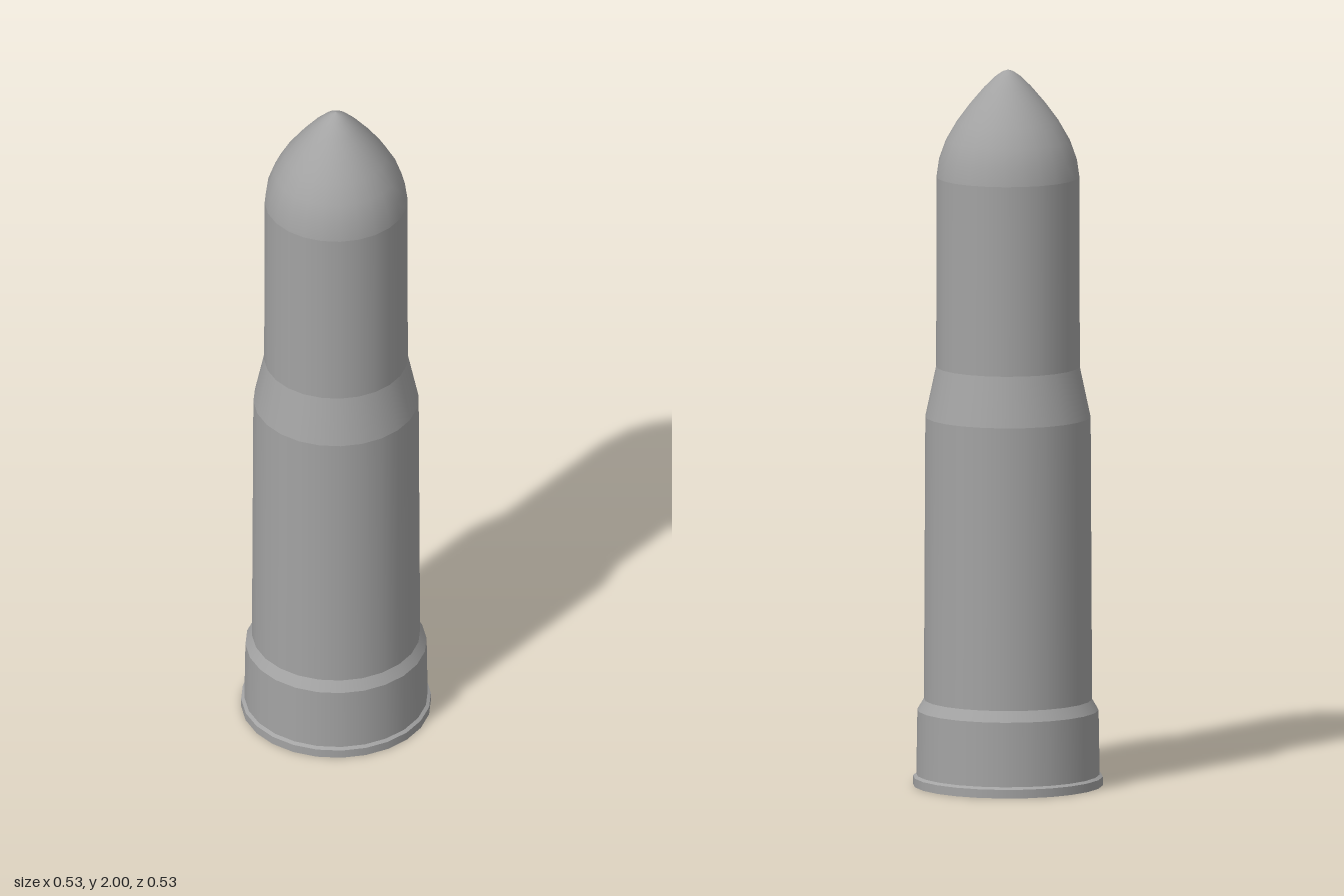
import * as THREE from 'three';

const SIDES = 24;

export function createModel() {
  const model = new THREE.Group();
  model.name = 'cartridge';
  const metal = new THREE.MeshStandardMaterial({ color: 0xa3a3a3 });
  metal.name = 'grey metal';

  // Each section is turned separately so its end edges stay sharp.
  const turn = (name, points) => {
    const profile = points.map(([r, y]) => new THREE.Vector2(r, y));
    const mesh = new THREE.Mesh(new THREE.LatheGeometry(profile, SIDES), metal);
    mesh.name = name;
    model.add(mesh);
  };

  // Base and rim
  turn('baseDisc', [[0, 0], [0.263, 0]]);
  turn('rimWall', [[0.263, 0], [0.263, 0.024]]);
  turn('rimTop', [[0.263, 0.024], [0.254, 0.03]]);

  // Thick band with a bevelled top
  turn('bandWall', [[0.254, 0.03], [0.251, 0.21]]);
  turn('bandBevel', [[0.251, 0.21], [0.233, 0.24]]);

  // Case and sloping shoulder
  turn('caseWall', [[0.233, 0.24], [0.229, 1.03]]);
  turn('shoulder', [[0.229, 1.03], [0.199, 1.17]]);

  // Bullet shank and rounded nose
  turn('bulletShank', [[0.199, 1.17], [0.198, 1.7]]);
  turn('bulletNose', [
    [0.198, 1.7], [0.191, 1.75], [0.172, 1.803], [0.142, 1.855],
    [0.105, 1.905], [0.065, 1.952], [0.034, 1.982], [0.015, 1.995], [0, 2],
  ]);

  return model;
}
